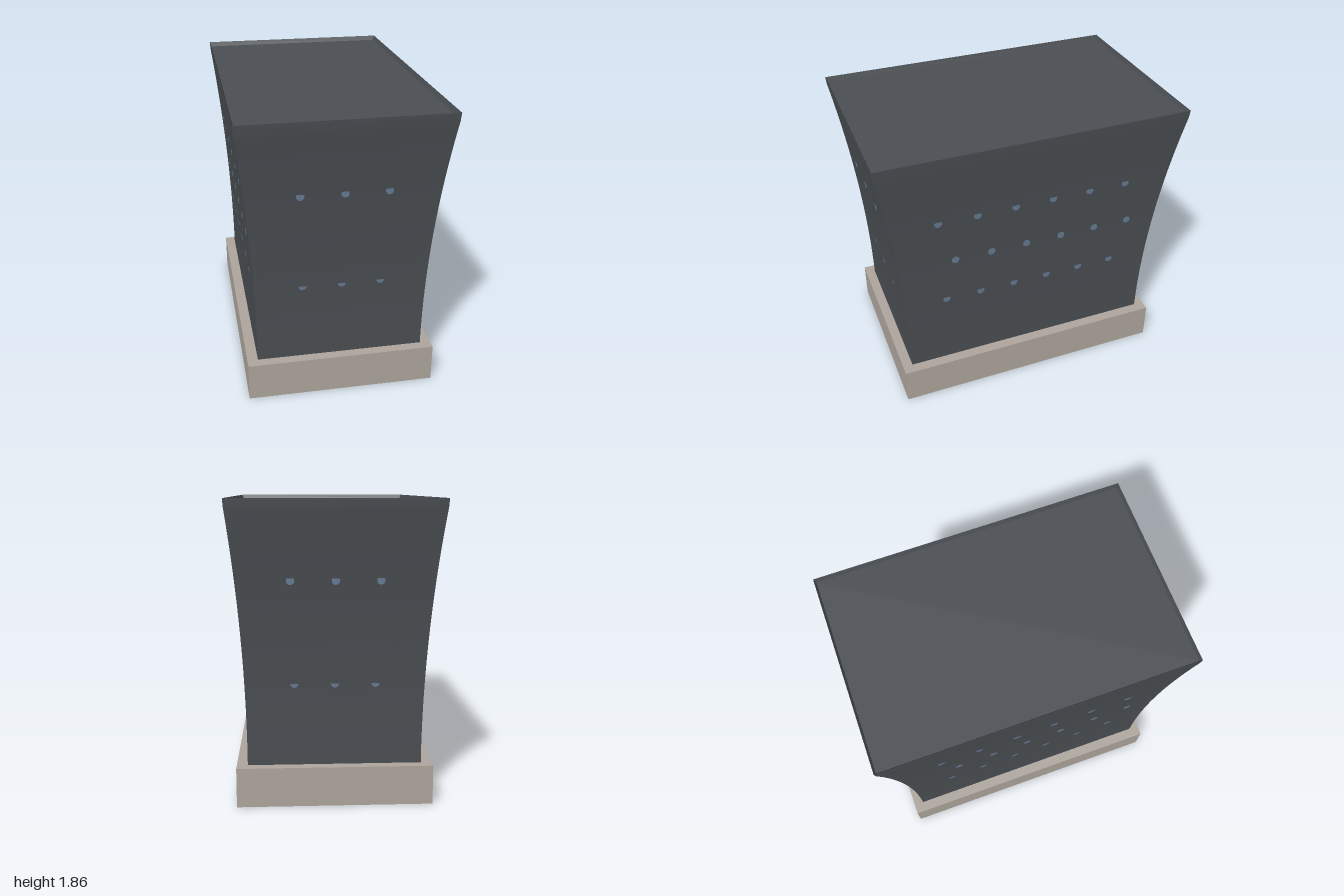
import * as THREE from 'three';

const BASE_TOP = 0.245, TOP = 1.86, RIM = 1.835;

// Half width (x) and half depth (z) of the flared body at height y
const flare = (y) => Math.min(1, Math.max(0, (y - BASE_TOP) / (RIM - BASE_TOP))) ** 2;
const halfX = (y) => 0.533 + 0.107 * flare(y);
const halfZ = (y) => 0.843 + 0.157 * flare(y);

// Keep only the listed faces of a box (0 +x, 1 -x, 2 +y, 3 -y, 4 +z, 5 -z)
function keepFaces(geo, faces) {
  const all = Array.from(geo.index.array);
  const kept = faces.flatMap((f) => {
    const g = geo.groups[f];
    return all.slice(g.start, g.start + g.count);
  });
  geo.setIndex(kept);
  geo.clearGroups();
  return geo;
}

// Move a unit box's vertices so its section follows the given half sizes
function shapeBox(geo, y0, y1, sizeX, sizeZ) {
  const p = geo.attributes.position;
  for (let i = 0; i < p.count; i++) {
    const y = y0 + (p.getY(i) + 0.5) * (y1 - y0);
    p.setXYZ(i, Math.sign(p.getX(i)) * sizeX(y), y, Math.sign(p.getZ(i)) * sizeZ(y));
  }
  geo.computeVertexNormals();
  return geo;
}

export function createModel() {
  const model = new THREE.Group();
  const mat = (name, color, side = THREE.FrontSide) => {
    const m = new THREE.MeshStandardMaterial({ color, side });
    m.name = name;
    return m;
  };
  const slate = mat('dark slate', 0x4a4e52, THREE.DoubleSide);
  const stone = mat('warm stone', 0xaca49b, THREE.DoubleSide);
  const blue = mat('stud blue', 0x637890);
  const add = (parent, name, geo, material) => {
    const mesh = new THREE.Mesh(geo, material);
    mesh.name = name;
    parent.add(mesh);
    return mesh;
  };

  // Plinth, open underneath
  const plinth = keepFaces(new THREE.BoxGeometry(1.2, BASE_TOP, 1.814), [0, 1, 2, 4, 5]);
  plinth.translate(0, BASE_TOP / 2, 0);
  add(model, 'plinth', plinth, stone);

  // Flared walls, smooth along the curve and sharp at the corners
  const walls = keepFaces(new THREE.BoxGeometry(1, 1, 1, 1, 32, 1), [0, 1, 4, 5]);
  add(model, 'flaredWalls', shapeBox(walls, BASE_TOP, TOP, halfX, halfZ), slate);

  // Shallow sloping rim and the recessed lid inside it
  const lidY = 1.83;
  const slope = (y) => 0.012 * (TOP - y) / (TOP - lidY);
  const rim = keepFaces(new THREE.BoxGeometry(1, 1, 1), [0, 1, 4, 5]);
  shapeBox(rim, lidY, TOP, (y) => 0.64 - slope(y), (y) => 1 - slope(y));
  add(model, 'innerRim', rim, slate);
  const lid = new THREE.PlaneGeometry(1.256, 1.976).rotateX(-Math.PI / 2).translate(0, lidY, 0);
  add(model, 'recessedLid', lid, slate);

  // Round studs sunk in the leaning walls; above the cut height the wall covers them
  const depth = 0.02;
  const disc = new THREE.CylinderGeometry(0.025, 0.025, depth, 10).rotateX(Math.PI / 2);
  const endRows = [
    { y: 1.387, cut: 1.4, first: -0.265, step: 0.265, count: 3 },
    { y: 0.757, cut: 0.758, first: -0.245, step: 0.245, count: 3 },
  ];
  const sideRows = [
    { y: 1.39, cut: 1.402, first: 0.626, step: -0.2495, count: 6 },
    { y: 1.073, cut: 1.1, first: 0.519, step: -0.239, count: 6 },
    { y: 0.757, cut: 0.771, first: 0.583, step: -0.2326, count: 6 },
  ];
  // The back half repeats the front half turned by 180 degrees
  for (const turn of [0, Math.PI]) {
    const studs = new THREE.Group();
    studs.name = turn ? 'backAndRightStuds' : 'frontAndLeftStuds';
    studs.rotation.y = turn;
    for (const r of endRows) {
      for (let i = 0; i < r.count; i++) {
        add(studs, 'endStud', disc, blue)
          .position.set(r.first + i * r.step, r.y, halfZ(r.cut) - depth / 2);
      }
    }
    for (const r of sideRows) {
      for (let i = 0; i < r.count; i++) {
        const stud = add(studs, 'sideStud', disc, blue);
        stud.rotation.y = Math.PI / 2;
        stud.position.set(halfX(r.cut) - depth / 2, r.y, r.first + i * r.step);
      }
    }
    model.add(studs);
  }
  return model;
}
